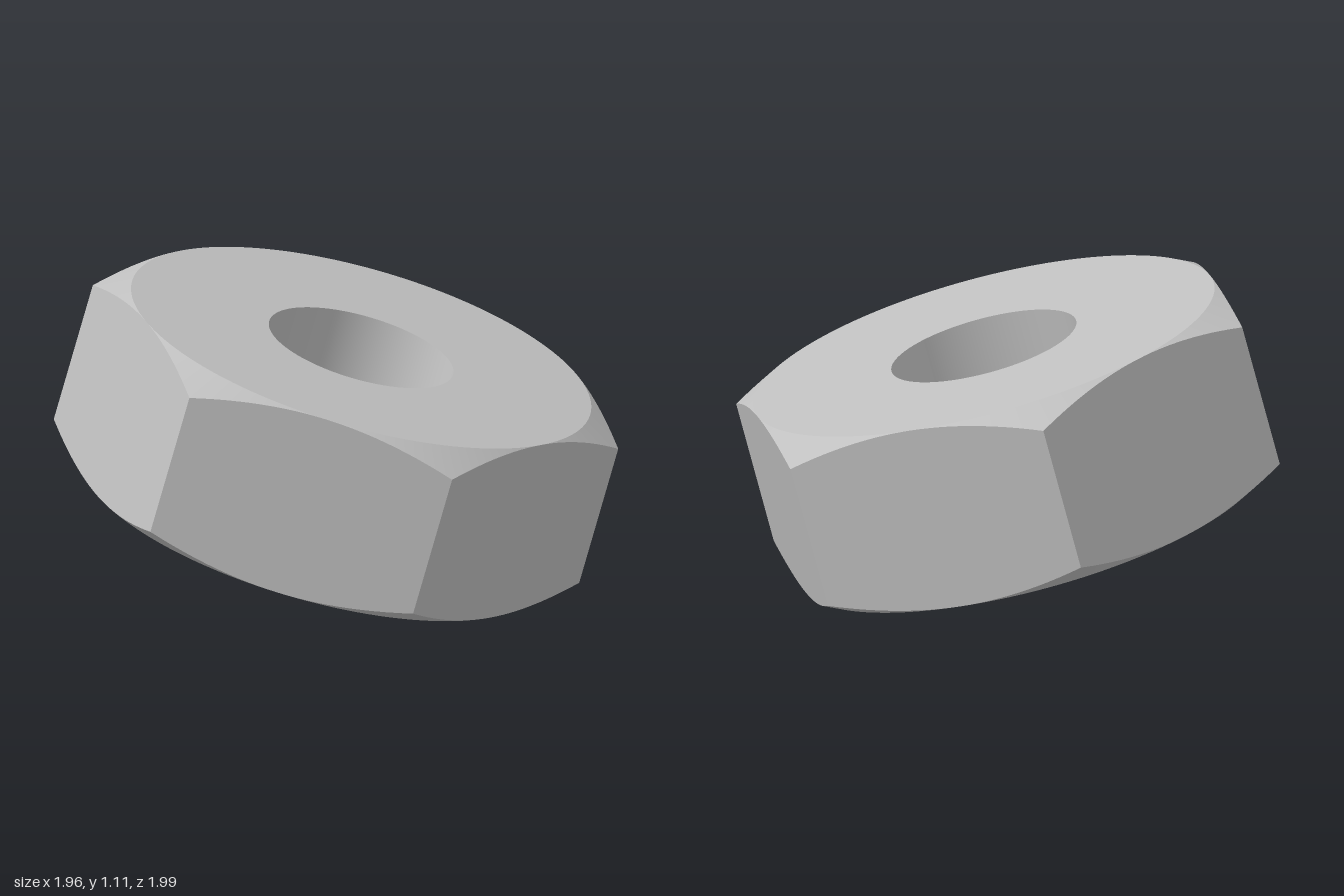
import * as THREE from 'three';

const BORE = 0.342;          // hole radius
const CORNER = 0.984;        // centre to hexagon corner
const FLAT = CORNER * Math.cos(Math.PI / 6); // centre to hexagon flat
const HALF = 0.34;           // half thickness
const SLOPE = Math.tan(Math.PI / 6);         // chamfer slope
const SIXTH = Math.PI / 3;
const STEPS = 24;            // segments per hexagon side

// radius of the hexagon at an angle measured inside one side (0 to 60 degrees)
const hexRadius = (t) => FLAT / Math.cos(t - SIXTH / 2);
const hexHeight = (t) => HALF - (hexRadius(t) - FLAT) * SLOPE;

// profile rings: each returns [radius, height]
const boreBottom = () => [BORE, -HALF];
const boreTop = () => [BORE, HALF];
const rimBottom = () => [FLAT, -HALF];
const rimTop = () => [FLAT, HALF];
const hexBottom = (t) => [hexRadius(t), -hexHeight(t)];
const hexTop = (t) => [hexRadius(t), hexHeight(t)];

// surface between two rings; normalAt(angle, side) gives the normal
function band(ringA, ringB, normalAt) {
  const pos = [], nor = [], idx = [];
  for (let s = 0; s < 6; s++) {
    const base = pos.length / 3;
    for (let i = 0; i <= STEPS; i++) {
      const t = (i / STEPS) * SIXTH;
      const a = s * SIXTH + t;
      const n = normalAt(a, s);
      for (const [r, y] of [ringA(t), ringB(t)]) {
        pos.push(r * Math.cos(a), y, r * Math.sin(a));
        nor.push(...n);
      }
      if (i < STEPS) {
        const k = base + i * 2;
        idx.push(k, k + 1, k + 2, k + 2, k + 1, k + 3);
      }
    }
  }
  const g = new THREE.BufferGeometry();
  g.setAttribute('position', new THREE.Float32BufferAttribute(pos, 3));
  g.setAttribute('normal', new THREE.Float32BufferAttribute(nor, 3));
  g.setIndex(idx);
  return g;
}

// normal leaning outward by "out" and upward by "up"
const lean = (out, up) => (a) => [out * Math.cos(a), up, out * Math.sin(a)];

export function createModel() {
  const steel = new THREE.MeshStandardMaterial({ color: 0xc0c0c0 });
  steel.name = 'steel grey';

  const nut = new THREE.Group();
  nut.name = 'hexNut';
  const add = (name, geometry) => {
    const mesh = new THREE.Mesh(geometry, steel);
    mesh.name = name;
    nut.add(mesh);
  };

  const c = Math.cos(Math.PI / 6);
  add('bottomFace', band(boreBottom, rimBottom, lean(0, -1)));
  add('bottomChamfer', band(rimBottom, hexBottom, lean(0.5, -c)));
  add('hexSides', band(hexBottom, hexTop, (a, s) => lean(1, 0)((s + 0.5) * SIXTH)));
  add('topChamfer', band(hexTop, rimTop, lean(0.5, c)));
  add('topFace', band(rimTop, boreTop, lean(0, 1)));
  add('bore', band(boreTop, boreBottom, lean(-1, 0)));

  // tilt: the nut's axis, and one corner pointing to its left
  const axis = new THREE.Vector3(0.198, 0.9635, -0.1795).normalize();
  const corner = new THREE.Vector3(0.927, -0.127, 0.305);
  corner.addScaledVector(axis, -corner.dot(axis)).normalize();
  const side = new THREE.Vector3().crossVectors(corner, axis);
  nut.quaternion.setFromRotationMatrix(new THREE.Matrix4().makeBasis(corner, axis, side));
  nut.position.y = 0.556;

  const model = new THREE.Group();
  model.name = 'model';
  model.add(nut);
  return model;
}
